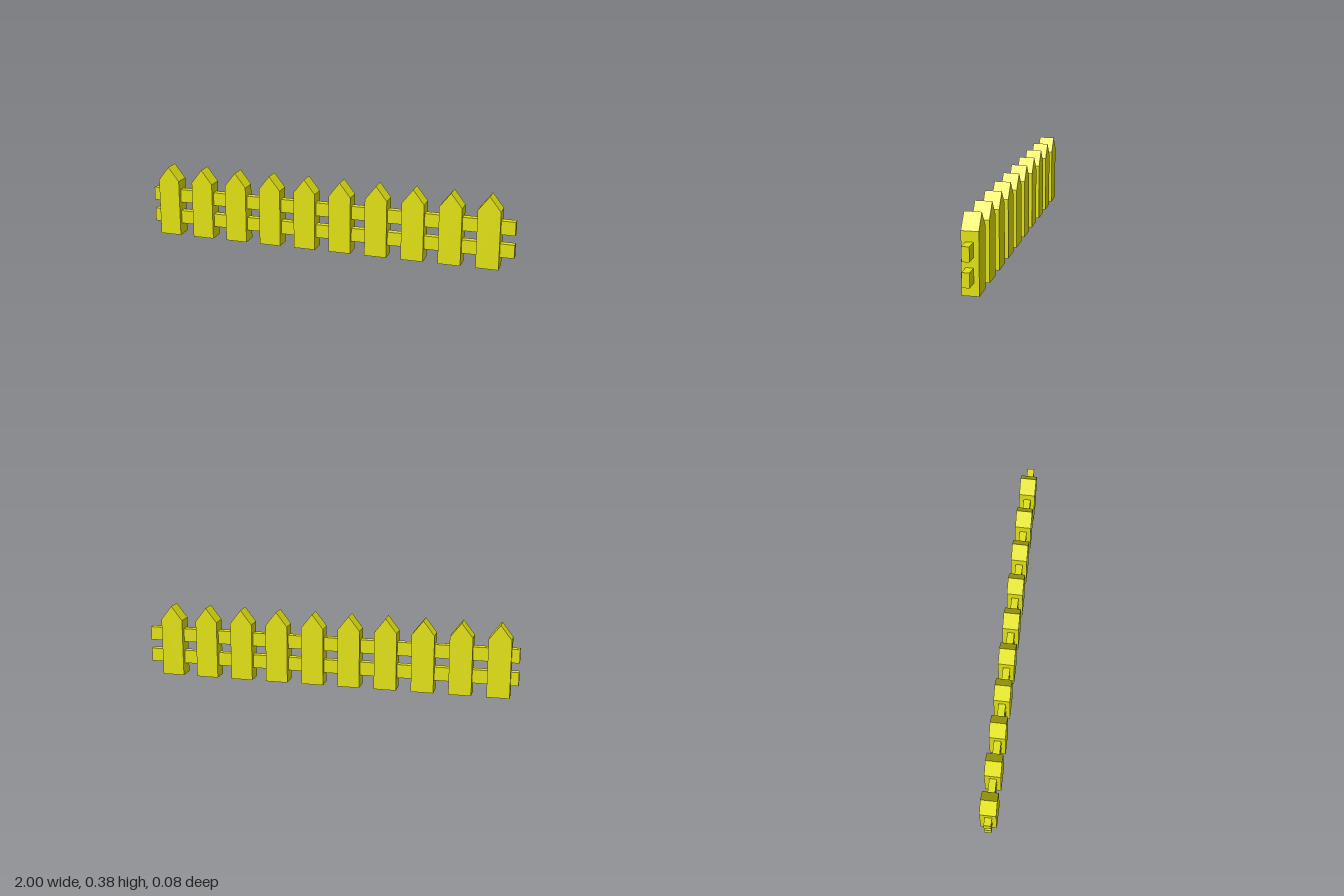
import * as THREE from 'three';

export function createModel() {
  const fence = new THREE.Group();
  fence.name = 'picketFence';
  const yellowPaint = new THREE.MeshStandardMaterial({ color: 0xe0e010 });
  yellowPaint.name = 'yellowPaint';

  // Pointed picket: extruded outline, centred in depth
  const halfWidth = 0.059, shoulder = 0.307, tip = 0.383, depth = 0.084;
  const outline = new THREE.Shape([
    new THREE.Vector2(-halfWidth, 0),
    new THREE.Vector2(halfWidth, 0),
    new THREE.Vector2(halfWidth, shoulder),
    new THREE.Vector2(0, tip),
    new THREE.Vector2(-halfWidth, shoulder),
  ]);
  const picketGeometry = new THREE.ExtrudeGeometry(outline, { depth, bevelEnabled: false });
  picketGeometry.translate(0, 0, -depth / 2);

  // Ten evenly spaced pickets
  const count = 10, firstX = -0.9, spacing = 0.1964;
  for (let i = 0; i < count; i++) {
    const picket = new THREE.Mesh(picketGeometry, yellowPaint);
    picket.name = `picket${i + 1}`;
    picket.position.x = firstX + i * spacing;
    fence.add(picket);
  }

  // Two horizontal rails running through the pickets
  const railGeometry = new THREE.BoxGeometry(2, 0.072, 0.037);
  for (const [name, y] of [['lowerRail', 0.099], ['upperRail', 0.22]]) {
    const rail = new THREE.Mesh(railGeometry, yellowPaint);
    rail.name = name;
    rail.position.set(0, y, 0.002);
    fence.add(rail);
  }

  return fence;
}
